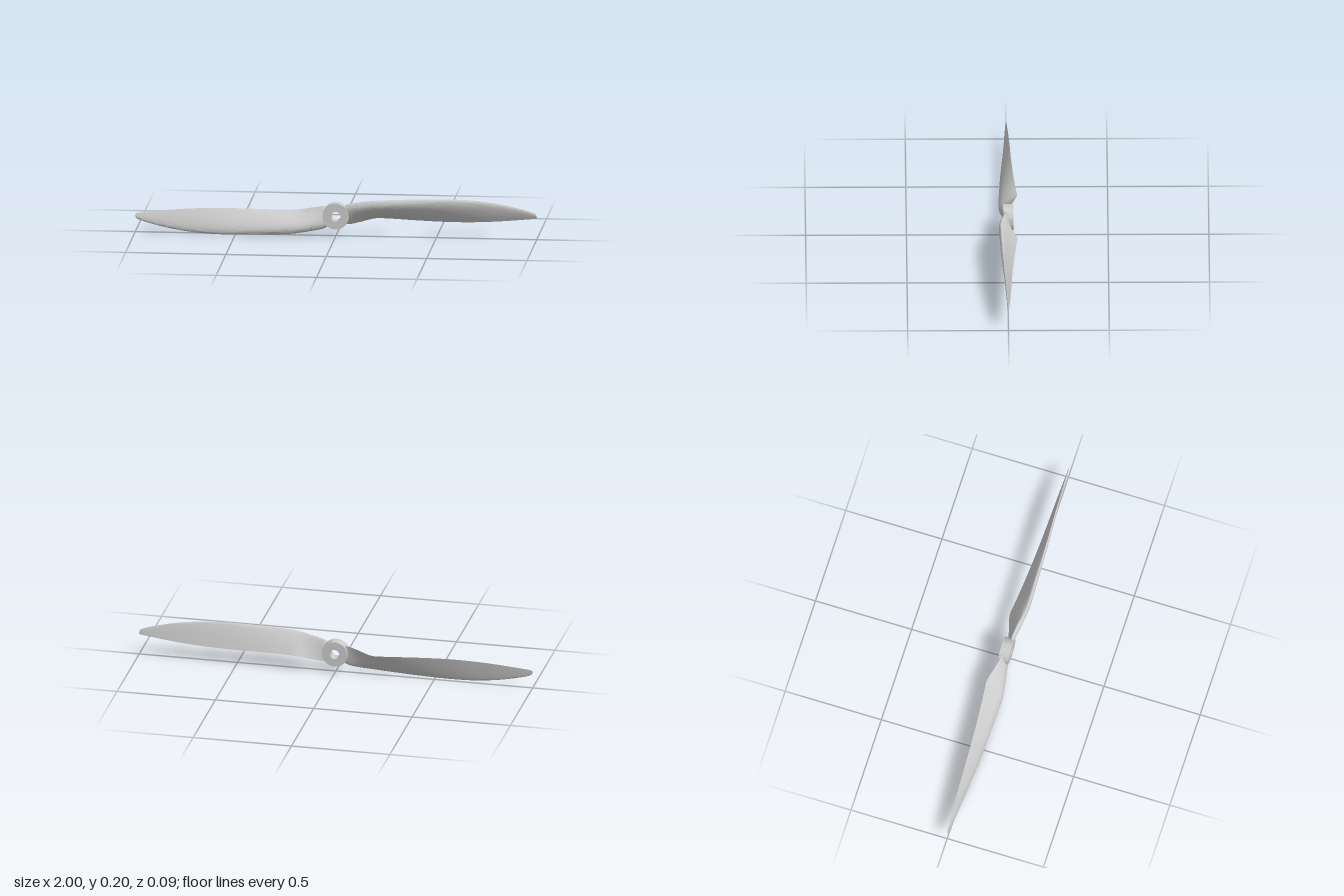
import * as THREE from 'three';
import { toCreasedNormals } from 'three/addons/utils/BufferGeometryUtils.js';

const HUB_Y = 0.104;

// Blade stations: x, leading edge y z, trailing edge y z (y from the hub axis), thickness
const STATIONS = [
  [0.045, 0.055, 0.004, -0.042, -0.018, 0.022],
  [0.07, 0.066, 0.006, -0.044, -0.02, 0.024],
  [0.12, 0.075, 0.014, -0.034, -0.032, 0.03],
  [0.19, 0.085, 0.029, -0.019, -0.05, 0.034],
  [0.26, 0.091, 0.032, -0.017, -0.044, 0.032],
  [0.4, 0.097, 0.028, -0.021, -0.032, 0.026],
  [0.56, 0.1, 0.024, -0.024, -0.022, 0.02],
  [0.7, 0.094, 0.017, -0.021, -0.016, 0.015],
  [0.82, 0.078, 0.011, -0.013, -0.011, 0.01],
  [0.92, 0.056, 0.006, -0.003, -0.006, 0.007],
  [0.975, 0.04, 0.003, 0.003, -0.003, 0.005],
  [0.994, 0.031, 0.002, 0.006, -0.002, 0.004],
  [1.0, 0.022, 0.001, 0.009, -0.001, 0.003],
];

const curve = (pick) => new THREE.CatmullRomCurve3(
  STATIONS.map((s) => new THREE.Vector3(...pick(s))), false, 'catmullrom', 0.5);

// Airfoil thickness along the chord, peak 1, u = 0 at the leading edge
const foil = (u) => 10 * (0.2969 * Math.sqrt(u) - 0.126 * u - 0.3516 * u ** 2
  + 0.2843 * u ** 3 - 0.1036 * u ** 4);

// Loft of twisted airfoils, domed on the front and nearly flat on the back
function bladeGeometry() {
  const lead = curve((s) => [s[0], s[1], s[2]]);
  const trail = curve((s) => [s[0], s[3], s[4]]);
  const thick = curve((s) => [s[0], s[5], 0]);
  const rows = 72, ring = 36, pos = [], index = [];
  for (let i = 0; i <= rows; i++) {
    const le = lead.getPoint(i / rows), te = trail.getPoint(i / rows);
    const t = thick.getPoint(i / rows).y;
    const chord = le.clone().sub(te);
    const normal = new THREE.Vector3(0, -chord.z, chord.y).normalize();
    for (let j = 0; j < ring; j++) {
      const a = (j / ring) * Math.PI * 2;
      const u = (1 + Math.cos(a)) / 2;
      const side = j <= ring / 2 ? 0.9 : -0.18;
      const p = le.clone().lerp(te, u).addScaledVector(normal, side * t * foil(u));
      pos.push(p.x, p.y, p.z);
    }
  }
  for (let i = 0; i < rows; i++) {
    for (let j = 0; j < ring; j++) {
      const a = i * ring + j, b = i * ring + (j + 1) % ring;
      index.push(a, a + ring, b, b, a + ring, b + ring);
    }
  }
  // Root and tip caps, strips between the front and back halves
  const tip = rows * ring;
  for (let j = 0; j < ring / 2; j++) {
    const f0 = j, f1 = j + 1, b0 = (ring - j) % ring, b1 = ring - j - 1;
    index.push(f0, f1, b1, f0, b1, b0);
    index.push(tip + f0, tip + b1, tip + f1, tip + f0, tip + b0, tip + b1);
  }
  const geo = new THREE.BufferGeometry();
  geo.setAttribute('position', new THREE.Float32BufferAttribute(pos, 3));
  geo.setIndex(index);
  return toCreasedNormals(geo, 0.9);
}

export function createModel() {
  const material = new THREE.MeshStandardMaterial({ color: 0xcccccc });
  const propeller = new THREE.Group();
  propeller.name = 'propeller';

  // Hub ring with a shaft hole
  const ring = [[0.024, -0.031], [0.065, -0.031], [0.065, 0.02], [0.024, 0.02], [0.024, -0.031]];
  const hubGeo = new THREE.LatheGeometry(ring.map((p) => new THREE.Vector2(...p)), 48);
  const hub = new THREE.Mesh(toCreasedNormals(hubGeo, 0.6), material);
  hub.name = 'hub';
  hub.rotation.x = Math.PI / 2;
  propeller.add(hub);

  // Two blades, half a turn apart
  const geo = bladeGeometry();
  ['leftBlade', 'rightBlade'].forEach((name, i) => {
    const blade = new THREE.Mesh(geo, material);
    blade.name = name;
    blade.rotation.z = i * Math.PI;
    propeller.add(blade);
  });

  propeller.position.y = HUB_Y;
  const model = new THREE.Group();
  model.add(propeller);
  return model;
}
